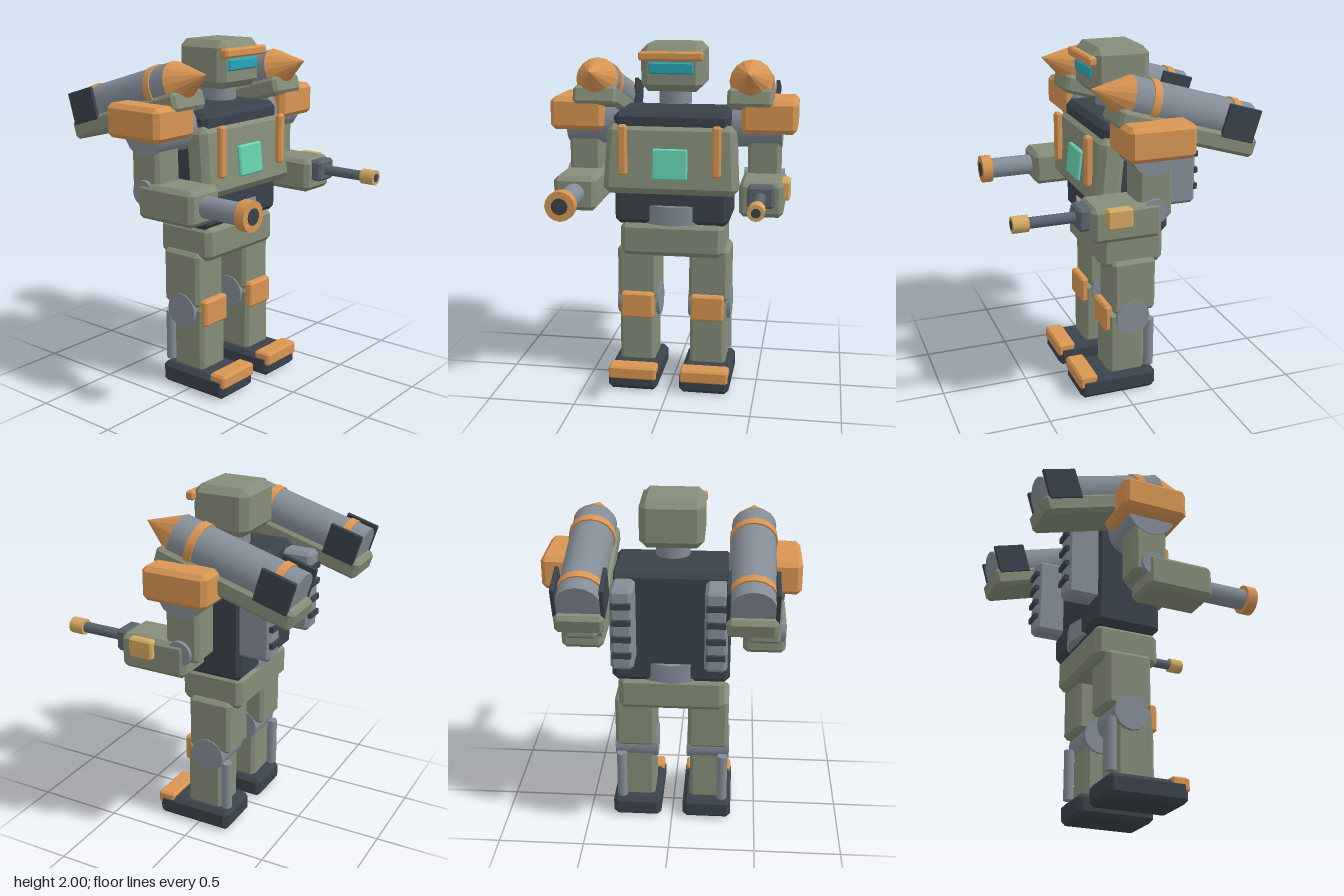
import * as THREE from 'three';
import { ConvexGeometry } from 'three/addons/geometries/ConvexGeometry.js';

const mat = (color, flatShading = false) => new THREE.MeshStandardMaterial({ color, flatShading });
const GREEN = mat(0x858d78), ORANGE = mat(0xd89552), DARK = mat(0x3a424b), GREY = mat(0x848d97);
const STEEL = mat(0x5a646e), GOLD = mat(0xd4a962), CYAN = mat(0x2aa5b8), MINT = mat(0x66d4b2);
const CONE = mat(0xd89552, true);

// Box with chamfered edges; taper scales the width at the top
function chamferBox(w, h, d, c, taper = 1) {
  const pts = [], half = [w / 2, h / 2, d / 2];
  for (const sx of [-1, 1]) for (const sy of [-1, 1]) for (const sz of [-1, 1])
    for (let full = 0; full < 3; full++) {
      const p = [sx, sy, sz].map((s, i) => s * (half[i] - (i === full ? 0 : c)));
      if (sy > 0) p[0] *= taper;
      pts.push(new THREE.Vector3(...p));
    }
  return new ConvexGeometry(pts);
}

function add(parent, name, geometry, material, x, y, z) {
  const mesh = new THREE.Mesh(geometry, material);
  mesh.name = name;
  mesh.position.set(x, y, z);
  parent.add(mesh);
  return mesh;
}

// Chamfered box given by its ranges along x, y and z
function block(parent, name, material, [x0, x1], [y0, y1], [z0, z1], c = 0.03, taper = 1) {
  return add(parent, name, chamferBox(Math.abs(x1 - x0), y1 - y0, z1 - z0, c, taper), material,
    (x0 + x1) / 2, (y0 + y1) / 2, (z0 + z1) / 2);
}

// Cylinder along an axis; r1 is the radius at the positive end
function rod(parent, name, material, axis, r, length, x, y, z, sides = 16, r1 = r) {
  const g = new THREE.CylinderGeometry(r1, r, length, sides);
  if (axis === 'x') g.rotateZ(-Math.PI / 2);
  if (axis === 'z') g.rotateX(Math.PI / 2);
  return add(parent, name, g, material, x, y, z);
}

function part(parent, name) {
  const g = new THREE.Group();
  g.name = name;
  parent.add(g);
  return g;
}

function buildHead(root) {
  const head = part(root, 'head');
  block(head, 'skull', GREEN, [-0.175, 0.175], [1.735, 2], [-0.215, 0.115], 0.04);
  block(head, 'brow', ORANGE, [-0.18, 0.18], [1.91, 1.96], [0.1, 0.15], 0.01);
  block(head, 'visor', CYAN, [-0.125, 0.125], [1.835, 1.9], [0.09, 0.128], 0.008);
  rod(head, 'neck', GREY, 'y', 0.095, 0.1, 0, 1.71, -0.05);
}

function buildTorso(root) {
  const torso = part(root, 'torso');
  block(torso, 'core', DARK, [-0.33, 0.33], [0.97, 1.625], [-0.27, 0.12]);
  const plate = block(torso, 'chestPlate', GREEN, [-0.385, 0.385], [1.155, 1.55], [0.015, 0.165], 0.035, 0.95);
  plate.rotation.x = -0.12;
  const screen = block(torso, 'chestScreen', MINT, [-0.1, 0.1], [1.25, 1.425], [0.155, 0.187], 0.008);
  screen.rotation.x = -0.1;
  rod(torso, 'waistRing', GREY, 'y', 0.23, 0.11, 0, 1.032, -0.07, 12);
  block(torso, 'pelvis', GREEN, [-0.3, 0.3], [0.78, 0.98], [-0.255, 0.12]);
  for (const s of [1, -1]) {
    block(torso, 'chestStrip', ORANGE, [s * 0.24, s * 0.29], [1.275, 1.56], [0.165, 0.207], 0.01);
    // Back vent with slats
    block(torso, 'backVent', GREY, [s * 0.19, s * 0.315], [1.12, 1.59], [-0.435, -0.225], 0.02);
    for (let i = 0; i < 4; i++)
      block(torso, 'ventSlat', DARK, [s * 0.2, s * 0.305], [1.198 + i * 0.095, 1.232 + i * 0.095], [-0.45, -0.42], 0.002);
  }
}

function buildLeg(root, s) {
  const leg = part(root, s > 0 ? 'leftLeg' : 'rightLeg');
  block(leg, 'thigh', GREEN, [s * 0.095, s * 0.33], [0.5, 0.82], [-0.2, 0.06], 0.02);
  rod(leg, 'knee', GREY, 'x', 0.1, 0.25, s * 0.212, 0.47, -0.06);
  block(leg, 'kneePad', ORANGE, [s * 0.11, s * 0.305], [0.39, 0.545], [0.05, 0.102], 0.012);
  block(leg, 'shin', GREEN, [s * 0.105, s * 0.315], [0.11, 0.5], [-0.14, 0.08], 0.02);
  rod(leg, 'calfPiston', GREY, 'y', 0.03, 0.295, s * 0.3, 0.287, -0.17, 12);
  block(leg, 'foot', DARK, [s * 0.065, s * 0.355], [0, 0.125], [-0.2, 0.26], 0.025);
  block(leg, 'toeCap', ORANGE, [s * 0.07, s * 0.35], [0.065, 0.145], [0.16, 0.268], 0.012);
}

function buildArm(root, s) {
  const arm = part(root, s > 0 ? 'leftArm' : 'rightArm');
  rod(arm, 'shoulder', GREY, 'x', 0.14, 0.28, s * 0.475, 1.55, -0.065);
  block(arm, 'shoulderPad', ORANGE, [s * 0.39, s * 0.7], [1.51, 1.695], [-0.26, 0.115], 0.025);
  block(arm, 'upperArm', GREEN, [s * 0.425, s * 0.61], [1.17, 1.55], [-0.165, 0.03], 0.02);
  rod(arm, 'elbow', GREY, 'x', 0.07, 0.23, s * 0.517, 1.22, -0.06);
  block(arm, 'forearm', GREEN, [s * 0.4, s * 0.642], [1.08, 1.275], [-0.098, 0.292], 0.025);
  const x = s * 0.522;
  if (s < 0) {
    // Heavy cannon
    rod(arm, 'cannonBarrel', GREY, 'z', 0.06, 0.28, x, 1.18, 0.41);
    rod(arm, 'cannonMuzzle', ORANGE, 'z', 0.082, 0.06, x, 1.18, 0.57);
    rod(arm, 'cannonBore', DARK, 'z', 0.045, 0.03, x, 1.18, 0.588);
  } else {
    // Light gun with its ammunition feed
    block(arm, 'gunMount', STEEL, [0.45, 0.597], [1.145, 1.27], [0.27, 0.352], 0.015);
    rod(arm, 'gunBarrel', STEEL, 'z', 0.03, 0.27, x, 1.207, 0.475, 12);
    rod(arm, 'gunMuzzle', GOLD, 'z', 0.045, 0.085, x, 1.207, 0.645, 12);
    rod(arm, 'gunBore', DARK, 'z', 0.025, 0.03, x, 1.207, 0.675, 12);
    block(arm, 'ammoBox', GOLD, [0.62, 0.675], [1.165, 1.275], [0.08, 0.222], 0.01);
    rod(arm, 'ammoDrum', GOLD, 'y', 0.085, 0.08, x, 1.116, 0.1);
  }
}

// Missile on its tilted rail; local z runs toward the nose
function buildLauncher(root, s) {
  const launcher = part(root, s > 0 ? 'leftLauncher' : 'rightLauncher');
  launcher.position.set(s * 0.438, 1.795, 0.034);
  launcher.rotation.x = -0.29;
  rod(launcher, 'missileBody', GREY, 'z', 0.12, 0.72, 0, 0, -0.36);
  rod(launcher, 'missileNose', CONE, 'z', 0.122, 0.205, 0, 0, 0.102, 16, 0);
  for (const z of [-0.125, -0.61]) rod(launcher, 'missileBand', ORANGE, 'z', 0.128, 0.045, 0, 0, z);
  block(launcher, 'rail', GREEN, [-0.128, 0.128], [-0.155, -0.045], [-0.76, 0.055], 0.02);
  for (const e of [1, -1])
    block(launcher, 'railClamp', DARK, [e * 0.112, e * 0.134], [-0.075, 0.107], [-0.725, -0.53], 0.004);
}

export function createModel() {
  const root = new THREE.Group();
  root.name = 'robot';
  buildHead(root);
  buildTorso(root);
  for (const s of [1, -1]) {
    buildLeg(root, s);
    buildArm(root, s);
    buildLauncher(root, s);
  }
  return root;
}
